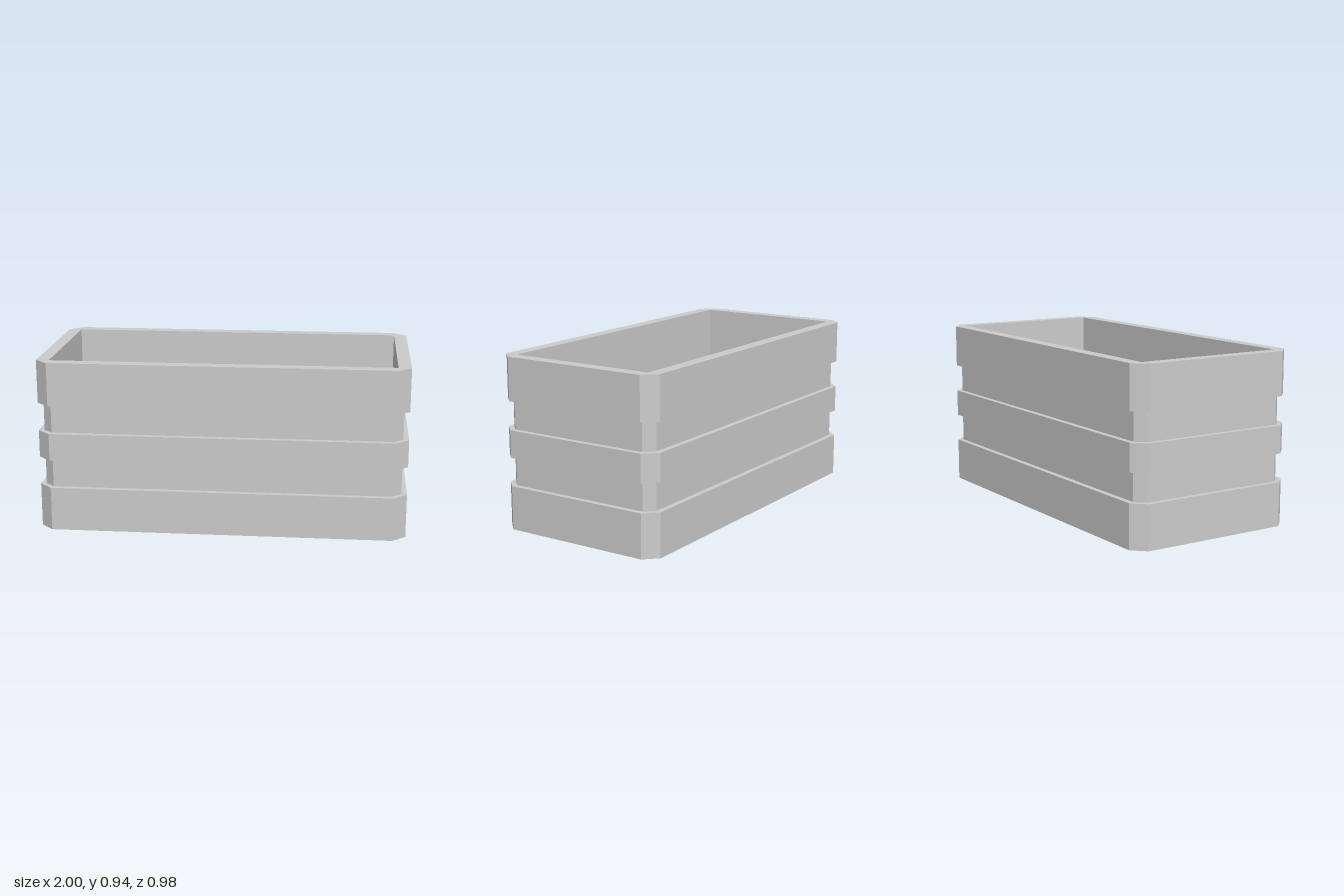
import * as THREE from 'three';

const material = new THREE.MeshStandardMaterial({ color: 0xcccccc, flatShading: true });

// Horizontal rectangle with cut corners, counter-clockwise seen from above
function ring([hx, hz, cut, y]) {
  const x = hx - cut, z = hz - cut;
  return [[hx, z], [hx, -z], [x, -hz], [-x, -hz], [-hx, -z], [-hx, z], [-x, hz], [x, hz]]
    .map(([px, pz]) => new THREE.Vector3(px, y, pz));
}

// Skin stretched over successive rings, skipping collapsed triangles
function loft(name, sections) {
  const points = [];
  const addTriangle = (a, b, c) => {
    if (new THREE.Triangle(a, b, c).getArea() > 1e-7) points.push(a, b, c);
  };
  const rings = sections.map(ring);
  for (let r = 0; r < rings.length - 1; r++) {
    const low = rings[r], high = rings[r + 1];
    for (let i = 0; i < 8; i++) {
      const j = (i + 1) % 8;
      addTriangle(low[i], low[j], high[j]);
      addTriangle(low[i], high[j], high[i]);
    }
  }
  const geometry = new THREE.BufferGeometry().setFromPoints(points);
  geometry.computeVertexNormals();
  const mesh = new THREE.Mesh(geometry, material);
  mesh.name = name;
  return mesh;
}

export function createModel() {
  const group = new THREE.Group();
  group.name = 'planterBox';

  const height = 0.937, floorY = 0.48;
  const band = (y) => [1, 0.49, 0.07, y];
  const groove = (y) => [0.97, 0.46, 0.05, y];
  const cavity = (y) => [0.93, 0.42, 0, y];
  const centre = (y) => [0, 0, 0, y];

  // Three wide bands separated by two recessed ones
  const levels = [0, 0.24, 0.395, 0.545, 0.7, height];
  const outside = [];
  for (let i = 0; i < levels.length - 1; i++) {
    const section = i % 2 ? groove : band;
    outside.push(section(levels[i]), section(levels[i + 1]));
  }

  group.add(
    loft('base', [centre(0), band(0)]),
    loft('bandedWalls', outside),
    loft('rim', [band(height), cavity(height)]),
    loft('innerWalls', [cavity(height), cavity(floorY)]),
    loft('innerFloor', [cavity(floorY), centre(floorY)]),
  );
  return group;
}
